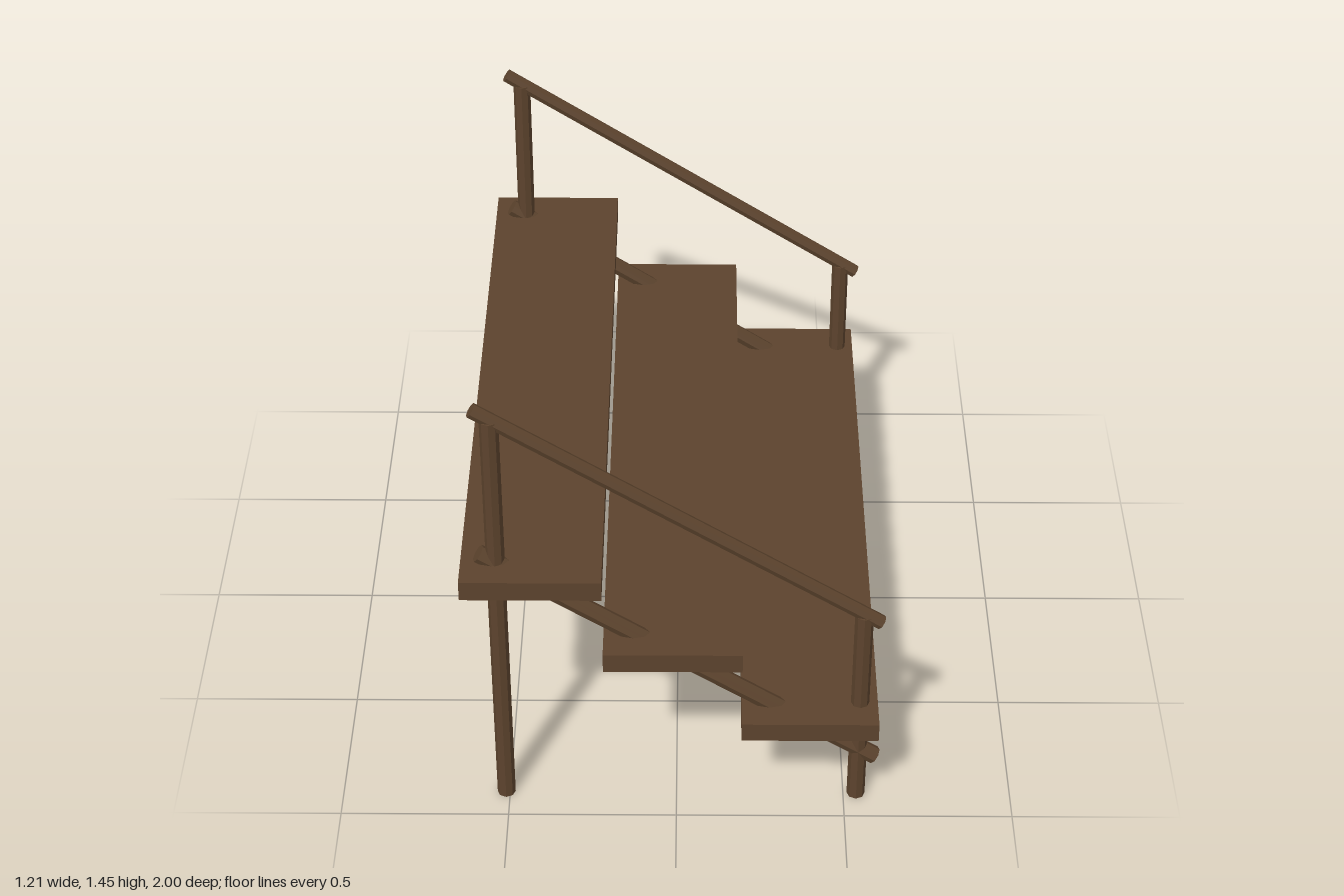
import * as THREE from 'three';

export function createModel() {
  const group = new THREE.Group();
  const wood = new THREE.MeshStandardMaterial({ color: 0x5c432d, flatShading: true });

  function add(geometry, name) {
    const mesh = new THREE.Mesh(geometry, wood);
    mesh.name = name;
    group.add(mesh);
    return mesh;
  }

  // Octagonal pole between two points
  function pole(name, from, to, radius) {
    const a = new THREE.Vector3(...from);
    const b = new THREE.Vector3(...to);
    const dir = b.clone().sub(a);
    const mesh = add(new THREE.CylinderGeometry(radius, radius, dir.length(), 8), name);
    mesh.position.copy(a).add(b).multiplyScalar(0.5);
    mesh.quaternion.setFromUnitVectors(new THREE.Vector3(0, 1, 0), dir.normalize());
  }

  // Three overlapping-run plank treads, stepping down towards +x
  for (let i = 0; i < 3; i++) {
    const tread = add(new THREE.BoxGeometry(0.4, 0.063, 2), 'tread' + (i + 1));
    tread.position.set(-0.41 + i * 0.4, 0.869 - i * 0.2665, 0);
  }

  // Posts, stringer and handrail on both sides
  for (const [side, z] of [['left', 0.9], ['right', -0.9]]) {
    const front = z > 0 ? 'front' : 'back';
    pole(front + 'TallPost', [-0.511, 0, z], [-0.511, 1.395, z], 0.027);
    pole(front + 'ShortPost', [0.538, 0, z], [0.538, 0.705, z], 0.027);
    pole(front + 'Stringer', [-0.559, 0.926, z], [0.588, 0.155, z], 0.027);
    pole(front + 'Handrail', [-0.559, 1.428, z], [0.588, 0.676, z], 0.022);
  }

  return group;
}
